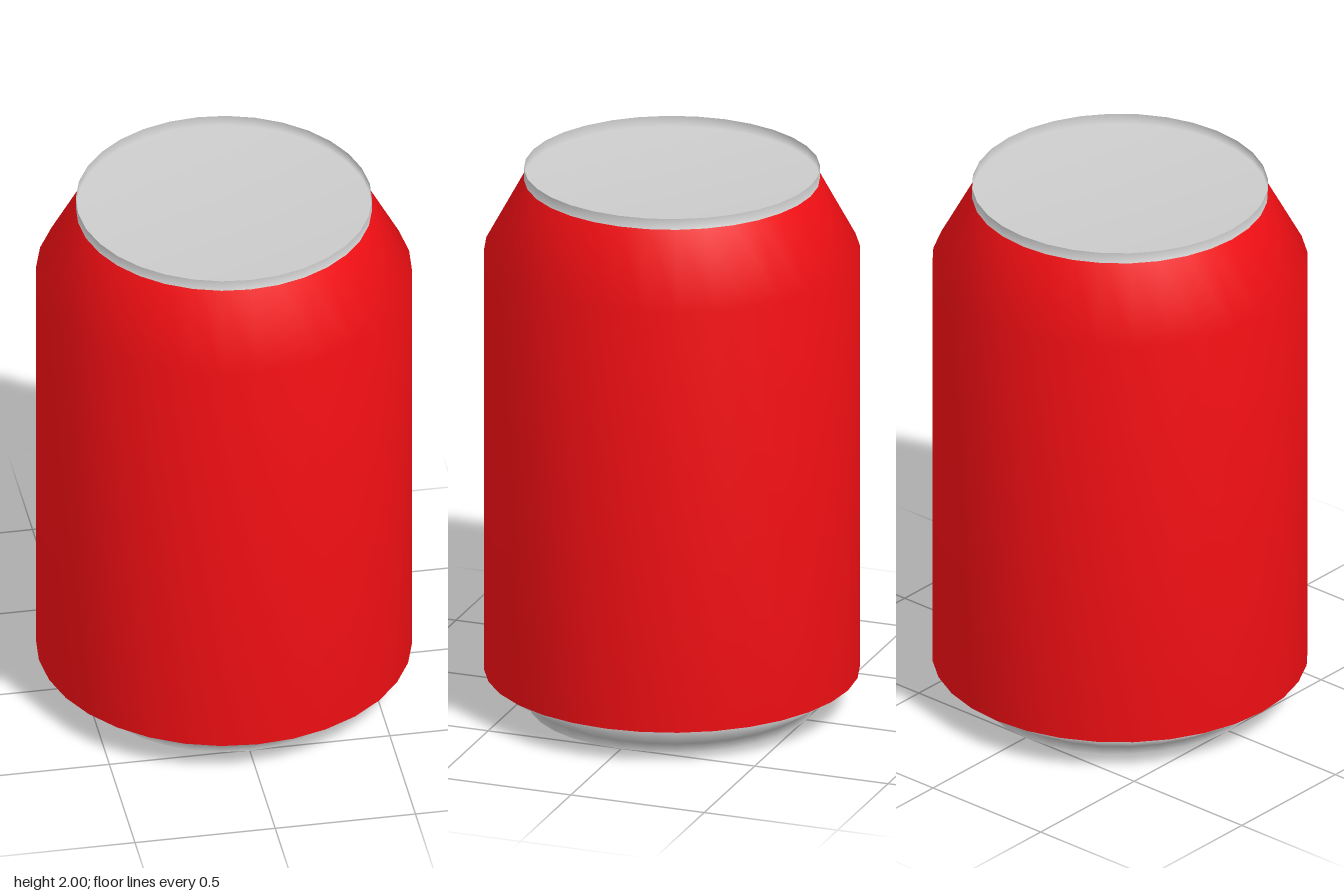
import * as THREE from 'three';

const SIDES = 32;
const grey = new THREE.MeshStandardMaterial({ color: 0xcccccc });
const red = new THREE.MeshStandardMaterial({ color: 0xf40f14 });

// Revolves a profile, keeping only bands first..last; normals stay smooth across the whole profile
function lathe(name, profile, material, first = 0, last = profile.length - 2) {
  const points = profile.map(([r, y]) => new THREE.Vector2(r, y));
  const geometry = new THREE.LatheGeometry(points, SIDES);
  const bands = points.length - 1;
  const all = Array.from(geometry.index.array);
  geometry.setIndex(all.filter((_, i) => {
    const band = Math.floor(i / 6) % bands;
    return band >= first && band <= last;
  }));
  const mesh = new THREE.Mesh(geometry, material);
  mesh.name = name;
  return mesh;
}

export function createModel() {
  const can = new THREE.Group();
  can.name = 'drinkCan';

  // Outer skin, from the foot ring up to the top rim
  const skin = [
    [0.505, 0], [0.505, 0.03], [0.66, 0.13],
    [0.66, 1.7], [0.52, 1.96], [0.52, 2],
  ];
  can.add(lathe('bottomTaper', skin, grey, 0, 1));
  can.add(lathe('paintedBody', skin, red, 2, 3));
  can.add(lathe('topRim', skin, grey, 4, 4));

  // Recessed end panels with the inner walls of their rims
  can.add(lathe('lid', [[0.52, 2], [0.52, 1.96], [0, 1.96]], grey));
  can.add(lathe('base', [[0, 0.03], [0.505, 0.03], [0.505, 0]], grey));

  return can;
}
